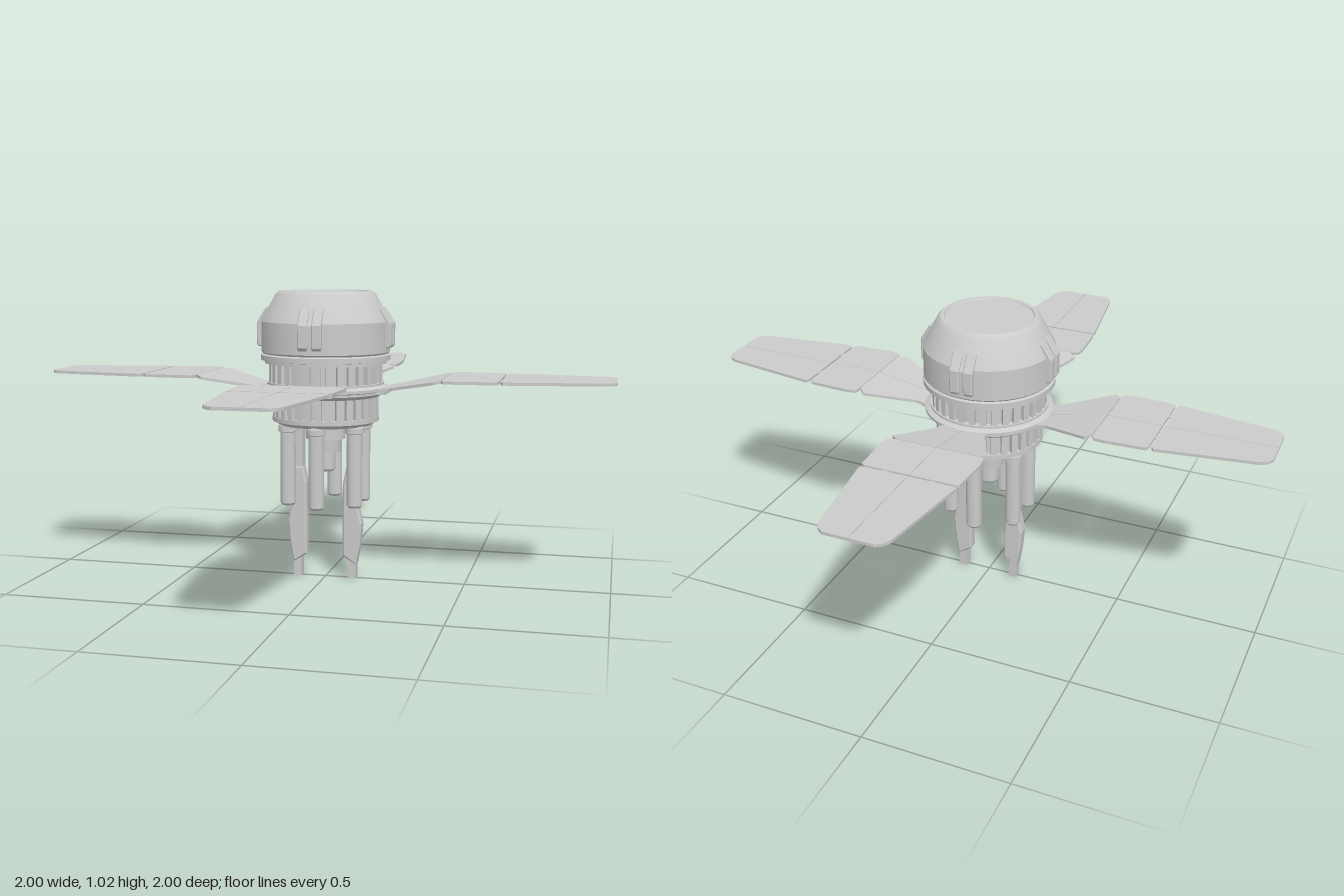
import * as THREE from 'three';
import { toCreasedNormals } from 'three/addons/utils/BufferGeometryUtils.js';

const material = new THREE.MeshStandardMaterial({ color: 0xcccccc });

function add(parent, name, geometry, x = 0, y = 0, z = 0) {
  const mesh = new THREE.Mesh(geometry, material);
  mesh.name = name;
  mesh.position.set(x, y, z);
  parent.add(mesh);
  return mesh;
}

// Turned part: [radius, height] pairs from bottom to top, with crisp edges
function turned(points, segments = 56) {
  const profile = points.map(([r, y]) => new THREE.Vector2(r, y));
  return toCreasedNormals(new THREE.LatheGeometry(profile, segments), 0.35);
}

// Flat outline in x/y, extruded evenly about z = 0
function slab(points, depth, bevel = 0) {
  const shape = new THREE.Shape(points.map(([x, y]) => new THREE.Vector2(x, y)));
  const geometry = new THREE.ExtrudeGeometry(shape, {
    depth: depth - 2 * bevel, bevelEnabled: bevel > 0, bevelSize: bevel,
    bevelThickness: bevel, bevelOffset: -bevel, bevelSegments: 1,
  });
  return geometry.translate(0, 0, -depth / 2 + bevel);
}

// Ring of upright ribs around a core
function ribRing(parent, name, radius, y0, y1, count) {
  const ring = new THREE.Group();
  ring.name = name;
  for (let i = 0; i < count; i++) {
    const a = ((i + 0.5) / count) * Math.PI * 2;
    const rib = add(ring, 'rib', new THREE.BoxGeometry(0.021, y1 - y0, 0.03),
      Math.sin(a) * (radius - 0.015), (y0 + y1) / 2, Math.cos(a) * (radius - 0.015));
    rib.rotation.y = a;
  }
  parent.add(ring);
}

// Solar wing pointing along +x, in three hinged panels split down the middle
function makeWing() {
  const wing = new THREE.Group();
  wing.name = 'wing';
  const panels = [
    ['rootPanel', [[0.18, 0.085], [0.24, 0.085], [0.405, 0.167], [0.427, 0.142]]],
    ['middlePanel', [[0.43, 0.155], [0.437, 0.17], [0.475, 0.174], [0.611, 0.167], [0.618, 0.153]]],
    ['outerPanel', [[0.627, 0.153], [0.634, 0.165], [0.962, 0.117], [0.985, 0.105], [1.0, 0.083]]],
  ];
  for (const [name, edge] of panels) {
    for (const side of [1, -1]) {
      const outline = [[edge[0][0], 0.001], ...edge, [edge[edge.length - 1][0], 0.001]];
      const geometry = slab(outline.map(([x, z]) => [x, z * side]), 0.01);
      geometry.rotateX(-Math.PI / 2);
      // The root panel slopes down towards the hub
      const p = geometry.attributes.position;
      for (let i = 0; i < p.count; i++) {
        p.setY(i, p.getY(i) + 0.725 - Math.max(0, 0.427 - p.getX(i)) * 0.2);
      }
      geometry.computeVertexNormals();
      add(wing, name, geometry);
    }
  }
  // Hinges between panels, and the root mount
  for (const [x, y] of [[0.4285, 0.725], [0.6225, 0.725]]) {
    for (const z of [-0.08, 0.08]) add(wing, 'hinge', new THREE.BoxGeometry(0.014, 0.005, 0.02), x, y, z);
  }
  add(wing, 'wingMount', new THREE.BoxGeometry(0.05, 0.02, 0.15), 0.2, 0.678, 0);
  return wing;
}

// Clamp on the side of the dome, facing +x
function makeClamp() {
  const clamp = new THREE.Group();
  clamp.name = 'clamp';
  const finger = [[0.2, 0.825], [0.232, 0.825], [0.24, 0.835], [0.24, 0.91], [0.205, 0.965], [0.18, 0.965]];
  for (const z of [-0.024, 0.024]) add(clamp, 'clampFinger', slab(finger, 0.034, 0.004), 0, 0, z);
  add(clamp, 'clampBridge', slab(
    [[0.2, 0.85], [0.231, 0.85], [0.231, 0.908], [0.205, 0.945], [0.18, 0.945]], 0.05));
  return clamp;
}

// Landing blade on the +x side
function makeBlade() {
  const blade = new THREE.Group();
  blade.name = 'bladeLeg';
  add(blade, 'bladeStrut', slab([[0.08, 0.36], [0.125, 0.36], [0.125, 0.57], [0.08, 0.57]], 0.036));
  add(blade, 'blade', slab([[0.09, 0.065], [0.115, 0.05], [0.128, 0.12], [0.135, 0.2],
    [0.118, 0.275], [0.118, 0.4], [0.078, 0.4], [0.066, 0.34], [0.066, 0.082]], 0.044, 0.006));
  add(blade, 'bladeFoot', new THREE.BoxGeometry(0.028, 0.09, 0.034), 0.099, 0.045, 0);
  return blade;
}

export function createModel() {
  const model = new THREE.Group();
  model.name = 'satellite';

  // Hub: dome, ribbed drums and flanges
  add(model, 'dome', turned([[0, 0.8], [0.215, 0.8], [0.225, 0.81], [0.225, 0.915],
    [0.175, 1.01], [0.164, 1.02], [0.152, 1.02], [0.149, 1.015], [0, 1.015]]));
  add(model, 'domeRim', turned([[0, 0.77], [0.213, 0.77], [0.213, 0.78], [0.227, 0.782],
    [0.227, 0.8], [0.22, 0.804], [0, 0.804]]));
  add(model, 'upperDrum', turned([[0, 0.68], [0.183, 0.68], [0.183, 0.775], [0, 0.775]]));
  add(model, 'middleFlange', turned([[0, 0.655], [0.19, 0.655], [0.208, 0.667], [0.208, 0.675],
    [0.222, 0.679], [0.222, 0.689], [0.205, 0.697], [0.205, 0.704], [0, 0.704]]));
  add(model, 'lowerDrum', turned([[0, 0.57], [0.17, 0.57], [0.17, 0.66], [0, 0.66]]));
  add(model, 'baseFlange', turned([[0, 0.555], [0.165, 0.555], [0.178, 0.565], [0.188, 0.568],
    [0.188, 0.584], [0, 0.584]]));
  ribRing(model, 'upperRibs', 0.199, 0.7, 0.775, 32);
  ribRing(model, 'lowerRibs', 0.186, 0.58, 0.66, 32);

  // Stepped nozzle beneath the hub
  add(model, 'nozzle', turned([[0, 0.385], [0.028, 0.385], [0.034, 0.393], [0.034, 0.455],
    [0.052, 0.455], [0.055, 0.5], [0.07, 0.502], [0.07, 0.56], [0, 0.56]], 32));

  // Six tubes in a ring
  const tube = turned([[0, 0.27], [0.021, 0.27], [0.027, 0.278], [0.027, 0.53], [0.034, 0.533],
    [0.034, 0.552], [0.028, 0.562], [0, 0.562]], 24);
  for (let i = 0; i < 6; i++) {
    const a = (i * Math.PI) / 3;
    add(model, 'tube', tube, Math.sin(a) * 0.138, 0, Math.cos(a) * 0.138);
  }

  // Four wings and clamps, and two mirrored blades
  for (let i = 0; i < 4; i++) {
    for (const part of [makeWing(), makeClamp()]) {
      part.rotation.y = (i * Math.PI) / 2;
      model.add(part);
    }
  }
  for (let i = 0; i < 2; i++) {
    const blade = makeBlade();
    blade.rotation.y = i * Math.PI;
    model.add(blade);
  }
  return model;
}
